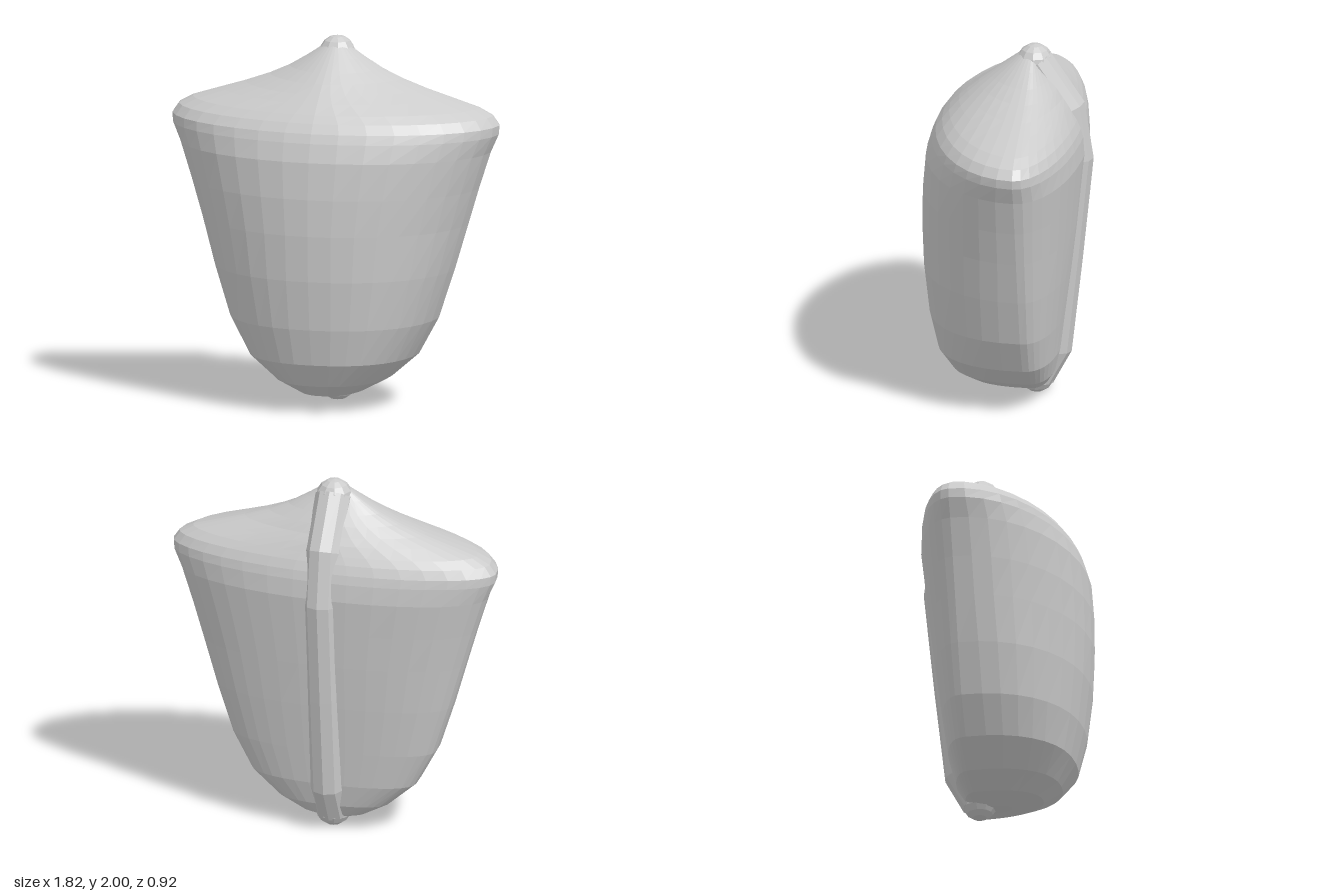
import * as THREE from 'three';

const material = new THREE.MeshStandardMaterial({ color: 0xcccccc, flatShading: true });

// Skin a stack of closed rings (ordered upward) and close both ends
function loft(rings) {
  const n = rings[0].length, pos = [], index = [];
  rings.forEach(r => r.forEach(p => pos.push(p.x, p.y, p.z)));
  for (let i = 0; i < rings.length - 1; i++) {
    for (let j = 0; j < n; j++) {
      const a = i * n + j, b = i * n + (j + 1) % n;
      index.push(a, a + n, b, b, a + n, b + n);
    }
  }
  [0, rings.length - 1].forEach((k, end) => {
    const c = new THREE.Vector3();
    rings[k].forEach(p => c.addScaledVector(p, 1 / n));
    const id = pos.length / 3;
    pos.push(c.x, c.y, c.z);
    for (let j = 0; j < n; j++) {
      const a = k * n + j, b = k * n + (j + 1) % n;
      if (end) index.push(a, id, b); else index.push(a, b, id);
    }
  });
  const g = new THREE.BufferGeometry();
  g.setAttribute('position', new THREE.Float32BufferAttribute(pos, 3));
  g.setIndex(index);
  g.computeVertexNormals();
  return g;
}

// Horizontal section: rounded lens, widest at z = mid, fuller in front than behind
function bodyRing([y, w, front, back, power]) {
  const mid = Math.min(-0.13, (front + back) / 2), ring = [];
  for (let j = 0; j < 36; j++) {
    const a = j / 36 * Math.PI * 2, c = Math.cos(a), s = Math.sin(a);
    const depth = s > 0 ? front - mid : mid - back;
    const e = 2 / power;
    ring.push(new THREE.Vector3(
      w * Math.sign(c) * Math.abs(c) ** e, y,
      mid + depth * Math.sign(s) * Math.abs(s) ** e));
  }
  return ring;
}

// Tube rings in the x = 0 plane, mitred at each bend
function spineRings(points, radius, sides) {
  return points.map((p, i) => {
    const t = points[Math.min(i + 1, points.length - 1)].clone()
      .sub(points[Math.max(i - 1, 0)]).normalize();
    const side = new THREE.Vector3(1, 0, 0), out = side.clone().cross(t);
    return Array.from({ length: sides }, (_, j) => {
      const a = (j + 0.5) / sides * Math.PI * 2;
      return p.clone().addScaledVector(side, radius * Math.cos(a))
        .addScaledVector(out, radius * Math.sin(a));
    });
  });
}

export function createModel() {
  const model = new THREE.Group();
  const add = (name, geometry, parent = model) => {
    const mesh = new THREE.Mesh(geometry, material);
    mesh.name = name;
    parent.add(mesh);
    return mesh;
  };

  // Shield-like body: height, half width, front z, back z, section power
  const sections = [
    [0.05, 0.06, 0.03, -0.18, 2],
    [0.08, 0.18, 0.2, -0.22, 2.2],
    [0.15, 0.31, 0.3, -0.26, 2.3],
    [0.28, 0.46, 0.38, -0.29, 2.3],
    [0.48, 0.57, 0.425, -0.315, 2.2],
    [0.75, 0.66, 0.455, -0.35, 2.1],
    [1.0, 0.735, 0.465, -0.38, 2],
    [1.2, 0.795, 0.46, -0.4, 2],
    [1.4, 0.86, 0.442, -0.42, 2],
    [1.5, 0.905, 0.412, -0.412, 1.95],
    [1.55, 0.91, 0.39, -0.4, 1.95],
    [1.6, 0.875, 0.355, -0.38, 1.9],
    [1.64, 0.8, 0.32, -0.36, 1.8],
    [1.69, 0.64, 0.27, -0.335, 1.7],
    [1.73, 0.51, 0.225, -0.31, 1.65],
    [1.78, 0.37, 0.165, -0.28, 1.65],
    [1.83, 0.26, 0.1, -0.24, 1.7],
    [1.89, 0.16, 0.02, -0.19, 1.8],
    [1.95, 0.07, -0.06, -0.15, 2],
  ];
  add('body', loft(sections.map(bodyRing)));

  // Raised spine down the back with rounded ends
  const spine = new THREE.Group();
  spine.name = 'backSpine';
  model.add(spine);
  const path = [[0.1, -0.15], [0.26, -0.24], [0.8, -0.3], [1.36, -0.357],
    [1.64, -0.315], [1.9, -0.14]].map(([y, z]) => new THREE.Vector3(0, y, z));
  add('spineRod', loft(spineRings(path, 0.102, 10)), spine);
  [path[0], path[path.length - 1]].forEach((p, i) => {
    add(i ? 'spineTopKnob' : 'spineBottomKnob', new THREE.SphereGeometry(0.1, 10, 8), spine)
      .position.copy(p);
  });
  return model;
}
